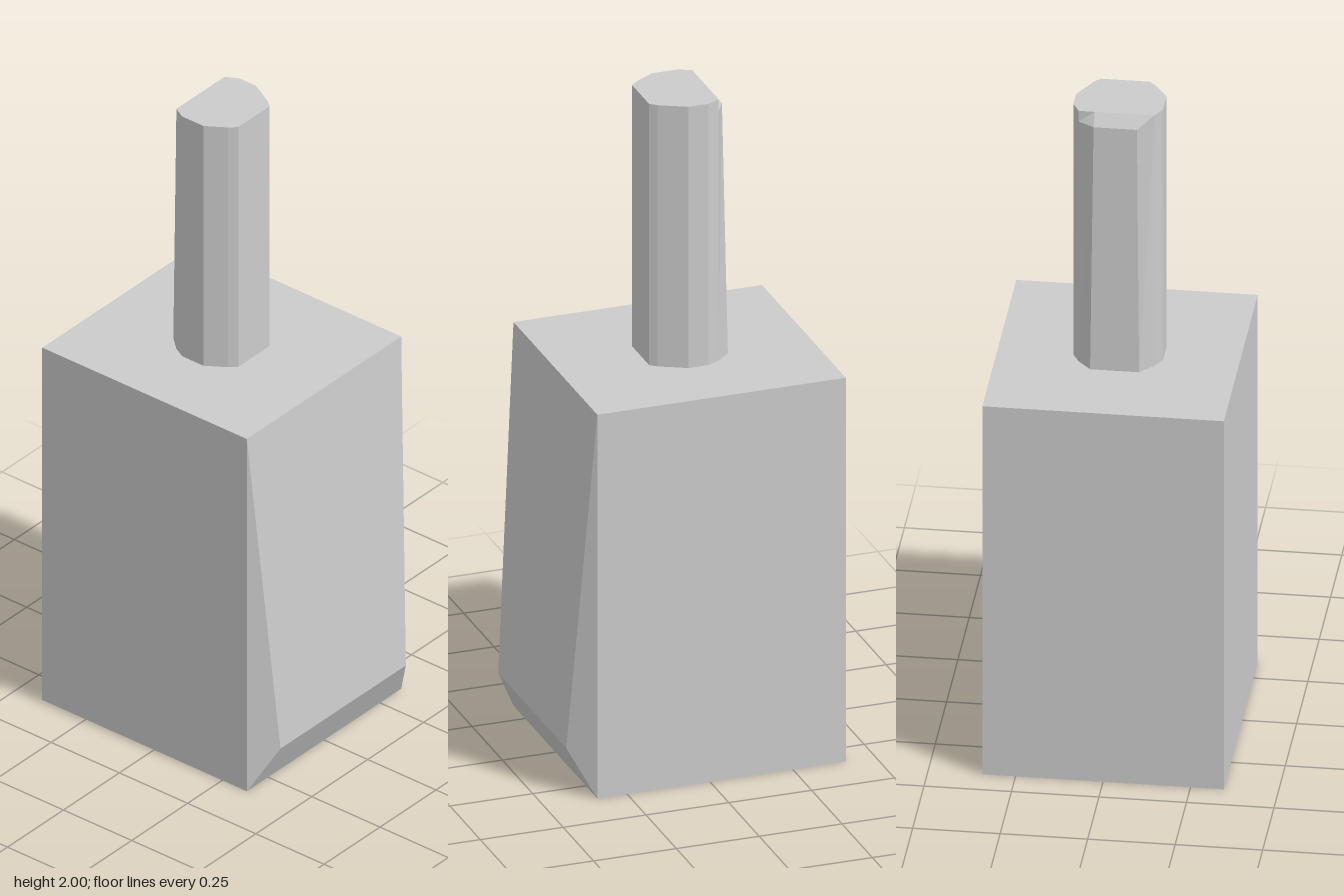
import * as THREE from 'three';

// Closed flat-shaded solid through rings of [x, z] points, listed bottom to top,
// each ring running front -> +x -> back -> -x.
function loft(name, rings) {
  const pos = [];
  const tri = (a, b, c) => {
    const area = new THREE.Triangle(a, b, c).getArea();
    if (area > 1e-7) for (const p of [a, b, c]) pos.push(p.x, p.y, p.z);
  };
  const loops = rings.map(({ y, points }) => points.map(([x, z]) => new THREE.Vector3(x, y, z)));
  const n = loops[0].length;
  for (let r = 0; r < loops.length - 1; r++) {
    const lo = loops[r], hi = loops[r + 1];
    for (let i = 0; i < n; i++) {
      const j = (i + 1) % n;
      tri(lo[i], lo[j], hi[j]);
      tri(lo[i], hi[j], hi[i]);
    }
  }
  const bottom = loops[0], top = loops[loops.length - 1];
  for (let i = 1; i < n - 1; i++) {
    tri(top[0], top[i], top[i + 1]);
    tri(bottom[0], bottom[i + 1], bottom[i]);
  }
  const geometry = new THREE.BufferGeometry();
  geometry.setAttribute('position', new THREE.Float32BufferAttribute(pos, 3));
  geometry.computeVertexNormals();
  const mesh = new THREE.Mesh(geometry, new THREE.MeshStandardMaterial({ color: 0xcccccc, flatShading: true }));
  mesh.name = name;
  return mesh;
}

// Body outline with a front panel of half-width w pushed out to depth z
const bodyRing = (y, w, z) => ({
  y,
  points: [[-w, z], [w, z], [0.345, 0.34], [0.345, -0.41], [-0.345, -0.41], [-0.345, 0.34]],
});

// Slightly irregular handle outline; the back facet has half-width w at depth z
const handleRing = (y, w, z) => ({
  y,
  points: [
    [-0.07, 0.083], [0.07, 0.083], [0.087, 0.063], [0.128, -0.015], [0.128, -0.075], [0.108, -0.113],
    [w, z], [-w, z],
    [-0.108, -0.113], [-0.128, -0.075], [-0.128, 0.003], [-0.09, 0.062],
  ],
});

export function createModel() {
  const model = new THREE.Group();
  model.name = 'blockWithHandle';

  // Block whose front panel leans out to a ridge near the base
  model.add(loft('body', [
    bodyRing(0, 0.345, 0.34),
    bodyRing(0.14, 0.28, 0.41),
    bodyRing(1.19, 0.345, 0.34),
  ]));

  // Upright handle, bevelled at the top of its back
  model.add(loft('handle', [
    handleRing(1.185, 0.07, -0.155),
    handleRing(1.965, 0.062, -0.14),
    handleRing(2, 0.062, -0.113),
  ]));

  return model;
}
